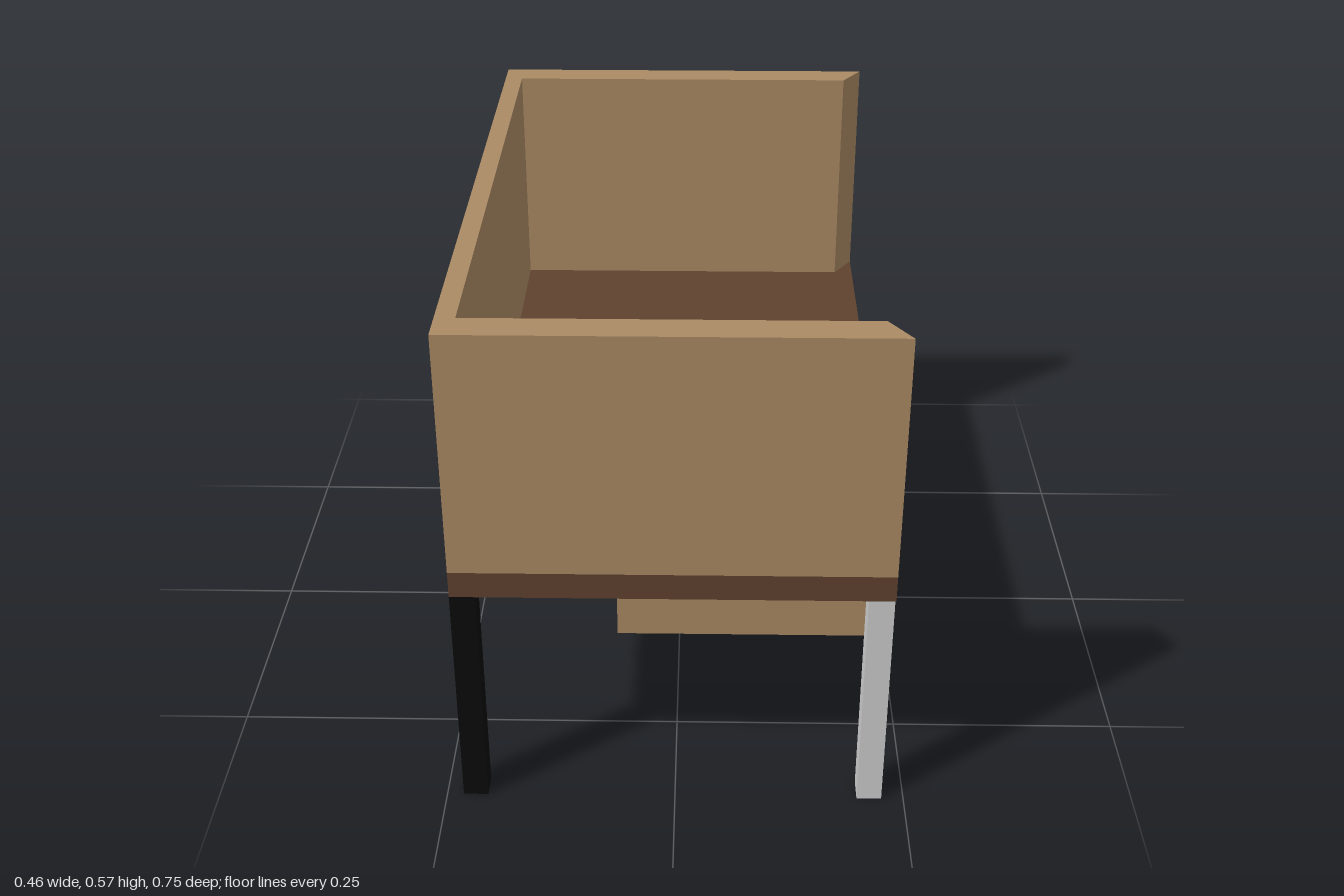
import * as THREE from 'three';

const mat = (color) => new THREE.MeshStandardMaterial({ color });

export function createModel() {
  const group = new THREE.Group();
  const wood = mat(0xaa8a64);
  const darkWood = mat(0x5f422e);
  const black = mat(0x0a0a0a);
  const grey = mat(0xcccccc);

  // Box given by its min and max corners
  const box = (name, material, [x0, y0, z0], [x1, y1, z1]) => {
    const mesh = new THREE.Mesh(new THREE.BoxGeometry(x1 - x0, y1 - y0, z1 - z0), material);
    mesh.position.set((x0 + x1) / 2, (y0 + y1) / 2, (z0 + z1) / 2);
    mesh.name = name;
    group.add(mesh);
  };

  // Overall extents
  const left = -0.232, right = 0.227, back = -0.378, front = 0.376;
  const floor = 1.432, under = 1.697, top = 1.727, rim = 2;

  box('tabletop', darkWood, [left, under, back], [right, top, front]);

  // U-shaped privacy screen with mitred open ends, extruded upwards
  const outline = [
    [left, back], [right, back], [0.204, -0.343], [-0.211, -0.343],
    [-0.211, 0.34], [0.204, 0.34], [right, front], [left, front],
  ].map(([x, z]) => new THREE.Vector2(x, -z));
  const screenGeometry = new THREE.ExtrudeGeometry(new THREE.Shape(outline), {
    depth: rim - top, bevelEnabled: false,
  });
  screenGeometry.rotateX(-Math.PI / 2);
  const screen = new THREE.Mesh(screenGeometry, wood);
  screen.position.y = top;
  screen.name = 'privacyScreen';
  group.add(screen);

  // Square legs, one of them bare metal
  const t = 0.027;
  for (const x of [left, right - t - 0.001]) {
    for (const z of [back + 0.005, front - t]) {
      const bare = x > 0 && z > 0;
      box(bare ? 'metalLeg' : 'leg', bare ? grey : black, [x, floor, z], [x + t, under, z + t]);
    }
  }

  // Drawers hung under both ends, each with a slim handle
  for (const side of [-1, 1]) {
    const z = side * 0.265;
    box('drawer', wood, [-0.061, 1.63, z - 0.08], [0.224, under, z + 0.08]);
    const hz = side > 0 ? 0.26 : -0.269;
    box('drawerHandle', black, [0.222, 1.661, hz - 0.015], [0.229, 1.667, hz + 0.015]);
  }

  return group;
}
